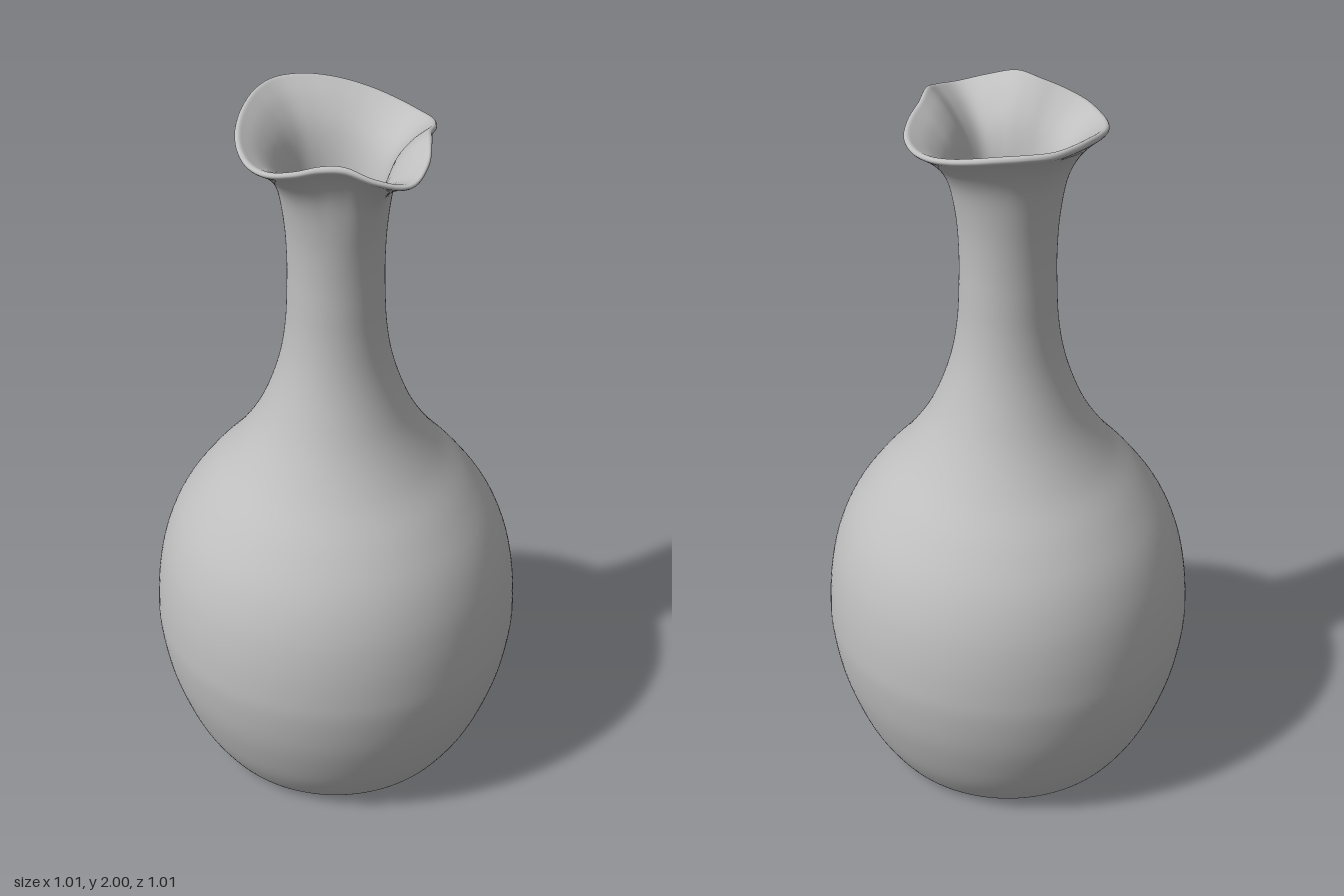
import * as THREE from 'three';
import { mergeVertices } from 'three/addons/utils/BufferGeometryUtils.js';

// Rim radius and rim height every 15 degrees, from the spout (front) round to the back
const RIM_RADIUS = [0.315, 0.292, 0.258, 0.241, 0.252, 0.263, 0.261, 0.256, 0.252, 0.250, 0.253, 0.263, 0.272];
const RIM_HEIGHT = [1.948, 1.967, 1.992, 1.984, 1.966, 1.950, 1.943, 1.949, 1.962, 1.977, 1.990, 1.998, 2.0];
const BASE_RADIUS = 0.26, BASE_HEIGHT = 1.95, FLARE_START = 1.6;

// Smooth lookup in a table that mirrors at both ends
function sample(table, angle) {
  const n = table.length - 1;
  const s = Math.abs(angle) / Math.PI * n;
  const i = Math.min(Math.floor(s), n - 1), t = s - i;
  const at = k => table[k < 0 ? -k : k > n ? 2 * n - k : k];
  const a = at(i - 1), b = at(i), c = at(i + 1), d = at(i + 2);
  return b + 0.5 * t * (c - a + t * (2 * a - 5 * b + 4 * c - d + t * (3 * (b - c) + d - a)));
}

const spline = (pairs, count) =>
  new THREE.SplineCurve(pairs.map(([r, y]) => new THREE.Vector2(r, y))).getPoints(count);

function profile() {
  // Slightly hollowed underside
  const foot = spline([[0, 0.015], [0.15, 0.015], [0.25, 0.012], [0.29, 0.002], [0.31, 0]], 14);
  // Outer wall: belly, shoulder, neck, flare
  const outer = spline([
    [0.31, 0], [0.34, 0.01], [0.37, 0.04], [0.418, 0.12], [0.455, 0.21], [0.485, 0.31], [0.503, 0.42],
    [0.505, 0.5], [0.497, 0.6], [0.476, 0.7], [0.435, 0.8], [0.368, 0.9], [0.285, 1.0], [0.221, 1.1],
    [0.178, 1.2], [0.149, 1.3], [0.134, 1.4], [0.129, 1.5], [0.128, 1.6], [0.134, 1.7], [0.151, 1.8],
    [0.177, 1.86], [0.216, 1.905], [0.256, 1.935],
  ], 110);
  // Rounded lip
  const lip = spline([[0.256, 1.935], [0.261, 1.942], [0.258, 1.949], [0.25, 1.95], [0.242, 1.946]], 10);
  // Inner wall down to the floor
  const inner = spline([
    [0.242, 1.946], [0.2, 1.918], [0.157, 1.87], [0.129, 1.8], [0.111, 1.7], [0.105, 1.6], [0.105, 1.5],
    [0.111, 1.4], [0.126, 1.3], [0.154, 1.2], [0.197, 1.1], [0.26, 1.0], [0.34, 0.9], [0.41, 0.8],
    [0.452, 0.7], [0.473, 0.6], [0.48, 0.48], [0.462, 0.32], [0.42, 0.18], [0.35, 0.06],
    [0.29, 0.035], [0.15, 0.035], [0, 0.035],
  ], 80);
  return [...foot, ...outer.slice(1), ...lip.slice(1), ...inner.slice(1)];
}

export function createModel() {
  const group = new THREE.Group();
  const ceramic = new THREE.MeshStandardMaterial({ color: 0xbfbfbf });
  ceramic.name = 'grey ceramic';

  const geometry = new THREE.LatheGeometry(profile(), 144);
  const pos = geometry.attributes.position;
  // Pull the round mouth into a pinched spout with a wavy rim
  for (let i = 0; i < pos.count; i++) {
    const x = pos.getX(i), y = pos.getY(i), z = pos.getZ(i);
    if (y <= FLARE_START) continue;
    const t = (y - FLARE_START) / (BASE_HEIGHT - FLARE_START);
    const w = t * t;
    const angle = Math.atan2(x, z);
    const k = 1 + (sample(RIM_RADIUS, angle) / BASE_RADIUS - 1) * w;
    pos.setXYZ(i, x * k, y + (sample(RIM_HEIGHT, angle) - BASE_HEIGHT) * w, z * k);
  }

  // Weld the seam so that shading is smooth all round
  geometry.deleteAttribute('uv');
  geometry.deleteAttribute('normal');
  const smooth = mergeVertices(geometry, 1e-5);
  smooth.computeVertexNormals();

  const vase = new THREE.Mesh(smooth, ceramic);
  vase.name = 'carafe';
  group.add(vase);
  return group;
}
